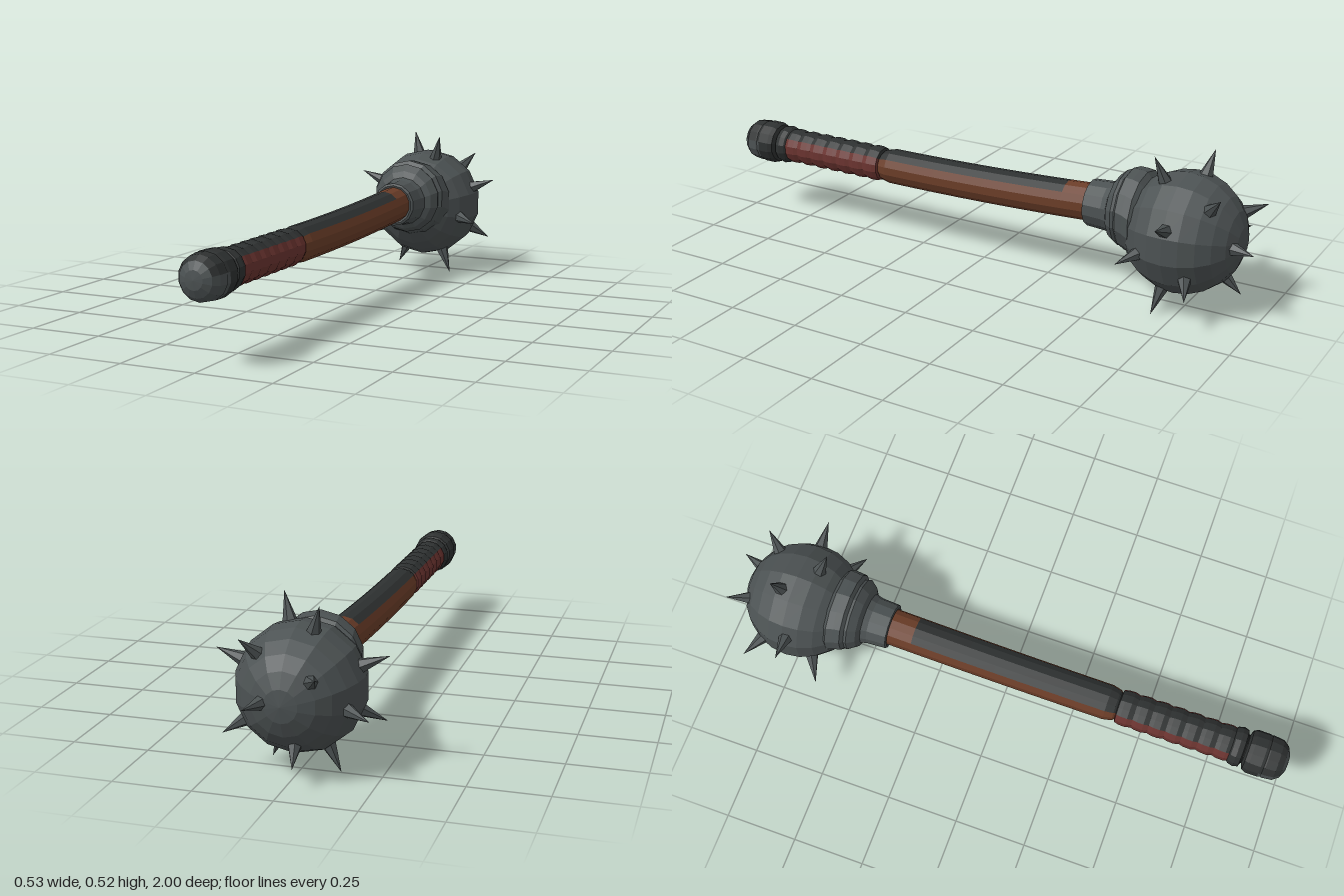
import * as THREE from 'three';

const flat = (name, color, flatShading = true) => {
  const m = new THREE.MeshStandardMaterial({ color, flatShading });
  m.name = name;
  return m;
};

// Skin through rings [z, radius, centreY] running from front (+z) to back.
// pick(s, z) gives the material index; s is the sine of the face's angle (1 = top).
function turned(name, rings, sides, mats, pick = () => 0) {
  const pos = [];
  for (const [z, r, cy] of rings) {
    for (let j = 0; j < sides; j++) {
      const a = Math.PI / 2 + (j / sides) * Math.PI * 2;
      pos.push(r * Math.cos(a), cy + r * Math.sin(a), z);
    }
  }
  const faces = mats.map(() => []);
  for (let i = 0; i < rings.length - 1; i++) {
    const z = (rings[i][0] + rings[i + 1][0]) / 2;
    for (let j = 0; j < sides; j++) {
      const k = (j + 1) % sides;
      const a = i * sides + j, b = a + sides;
      const c = (i + 1) * sides + k, d = i * sides + k;
      const s = Math.sin(Math.PI / 2 + ((j + 0.5) / sides) * Math.PI * 2);
      const out = faces[pick(s, z)];
      if (rings[i + 1][1] > 0) out.push(a, b, c);
      if (rings[i][1] > 0) out.push(a, c, d);
    }
  }
  const geo = new THREE.BufferGeometry();
  geo.setAttribute('position', new THREE.Float32BufferAttribute(pos, 3));
  geo.setIndex(faces.flat());
  let start = 0;
  faces.forEach((f, m) => {
    if (f.length) geo.addGroup(start, f.length, m);
    start += f.length;
  });
  geo.computeVertexNormals();
  const mesh = new THREE.Mesh(geo, mats);
  mesh.name = name;
  return mesh;
}

export function createModel() {
  const steel = flat('steel', 0x4c5253);
  const dark = flat('darkLeather', 0x2e3131);
  const wood = flat('wood', 0x6b3d28);
  const red = flat('redLeather', 0x6b3430);
  const model = new THREE.Group();
  model.name = 'spikedMace';

  // Pommel: steel knob, dark on its upper half and rear band
  model.add(turned('pommel', [
    [1.0, 0, 0.266], [0.997, 0.03, 0.266], [0.985, 0.055, 0.266], [0.965, 0.07, 0.266],
    [0.93, 0.074, 0.266], [0.925, 0.072, 0.266], [0.915, 0.075, 0.266], [0.875, 0.075, 0.266],
    [0.86, 0.068, 0.266], [0.853, 0.05, 0.266], [0.84, 0.05, 0.266],
  ], 14, [steel, dark], (s, z) => (z < 0.92 || (s > 0.25 && z < 0.98) ? 1 : 0)));

  // Dark ring between pommel and grip
  model.add(turned('gripRing', [
    [0.852, 0.045, 0.267], [0.845, 0.064, 0.267], [0.828, 0.069, 0.267],
    [0.81, 0.064, 0.267], [0.8, 0.055, 0.267],
  ], 14, [dark]));

  // Grip: leather windings as gentle bulges
  const grip = [[0.82, 0.054, 0.268]];
  const winds = 7;
  for (let i = 0; i < winds; i++) {
    const z = 0.81 - (i * 0.4) / winds;
    grip.push([z, 0.057, 0.268], [z - 0.018, 0.062, 0.268], [z - 0.042, 0.061, 0.268]);
  }
  grip.push([0.41, 0.057, 0.268], [0.405, 0.04, 0.268]);
  model.add(turned('grip', grip, 14, [red, dark], (s) => (s > 0.5 ? 1 : 0)));

  // Shaft: slightly rising wood with a darkened top
  const shaft = [[0.41, 0.045, 0.267], [0.4, 0.054, 0.267]];
  for (let i = 0; i <= 8; i++) {
    const t = i / 8;
    shaft.push([0.37 - t * 0.79, 0.061 + 0.002 * t, 0.268 + 0.023 * t * t]);
  }
  model.add(turned('shaft', shaft, 14, [wood, dark],
    (s, z) => (z > -0.33 && s > (z > 0.1 ? 0.55 : 0.7) ? 1 : 0)));

  // Socket: stepped steel collar between shaft and head
  model.add(turned('socket', [
    [-0.41, 0.055, 0.29], [-0.405, 0.07, 0.29], [-0.408, 0.078, 0.29], [-0.475, 0.082, 0.29],
    [-0.495, 0.088, 0.291], [-0.505, 0.108, 0.294], [-0.53, 0.127, 0.298], [-0.54, 0.124, 0.298],
    [-0.55, 0.136, 0.3], [-0.575, 0.14, 0.295], [-0.6, 0.146, 0.285], [-0.62, 0.13, 0.275],
  ], 14, [steel]));

  // Head: faceted ball
  const centre = new THREE.Vector3(0, 0.258, -0.738);
  const ball = [];
  for (let i = 0; i <= 12; i++) {
    const a = (i / 12) * Math.PI;
    ball.push([centre.z + 0.2 * Math.cos(a), i % 12 ? 0.2 * Math.sin(a) : 0, centre.y]);
  }
  model.add(turned('headBall', ball, 14, [steel]));

  // Spikes: cones pointing out of the ball, listed by tip
  const tips = [
    [-0.075, 0.521, -0.795], [0.08, 0.52, -0.655], [0.135, 0.437, -0.9],
    [-0.265, 0.367, -0.72], [0.265, 0.355, -0.745], [-0.245, 0.215, -0.872],
    [0.24, 0.205, -0.605], [-0.23, 0.127, -0.62], [0.218, 0.12, -0.832],
    [-0.13, 0.01, -0.77], [0.117, 0, -0.68], [0.09, 0.262, -1.0],
    [-0.115, 0.357, -0.967], [-0.03, 0.068, -0.925],
  ];
  const up = new THREE.Vector3(0, 1, 0);
  const spikes = new THREE.Group();
  spikes.name = 'spikes';
  for (const tip of tips) {
    const dir = new THREE.Vector3(...tip).sub(centre);
    const length = dir.length() - 0.18;
    dir.normalize();
    const geo = new THREE.ConeGeometry(0.026, length, 6);
    geo.translate(0, 0.18 + length / 2, 0);
    const spike = new THREE.Mesh(geo, steel);
    spike.name = 'spike';
    spike.position.copy(centre);
    spike.quaternion.setFromUnitVectors(up, dir);
    spikes.add(spike);
  }
  model.add(spikes);
  return model;
}
